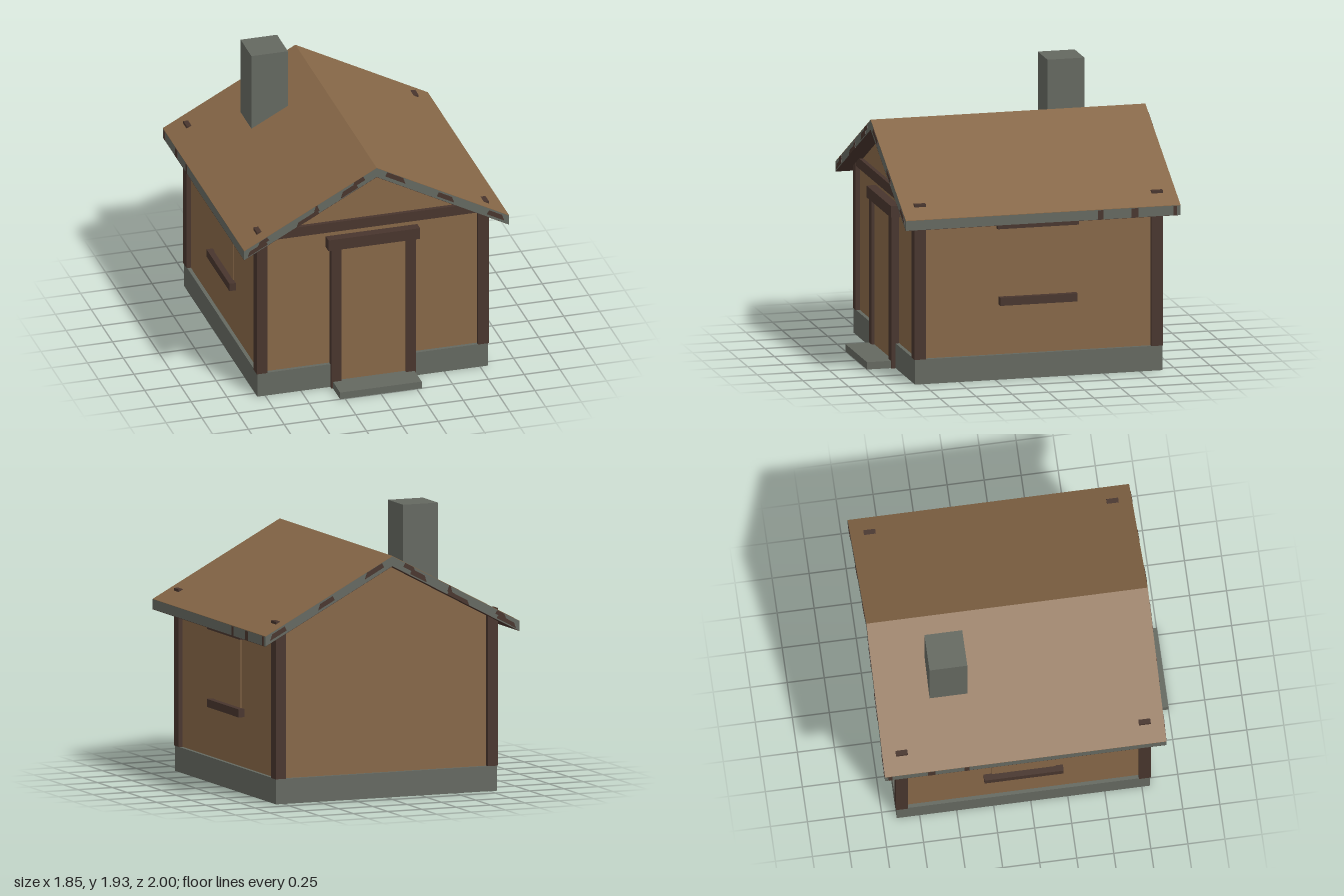
import * as THREE from 'three';

const mat = (name, color, side = THREE.FrontSide) => {
  const m = new THREE.MeshStandardMaterial({ color, side });
  m.name = name;
  return m;
};

export function createModel() {
  const house = new THREE.Group();
  house.name = 'cottage';
  const plaster = mat('tan plaster', 0x866747);
  const timber = mat('dark timber', 0x48352d);
  const stone = mat('grey stone', 0x646860, THREE.DoubleSide);

  const add = (name, geometry, material) => {
    const mesh = new THREE.Mesh(geometry, material);
    mesh.name = name;
    house.add(mesh);
    return mesh;
  };
  // Box given by its limits on each axis
  const boxGeo = (x0, x1, y0, y1, z0, z1) =>
    new THREE.BoxGeometry(x1 - x0, y1 - y0, z1 - z0)
      .translate((x0 + x1) / 2, (y0 + y1) / 2, (z0 + z1) / 2);
  const box = (name, material, ...b) => add(name, boxGeo(...b), material);
  // Box without its bottom face
  const openBox = (name, material, ...b) => {
    const g = boxGeo(...b);
    const index = Array.from(g.index.array);
    index.splice(18, 6);
    g.setIndex(index);
    g.clearGroups();
    return add(name, g, material);
  };
  // Outline in x, y extruded between two z positions
  const prism = (name, material, points, z0, z1) => {
    const shape = new THREE.Shape(points.map(p => new THREE.Vector2(...p)));
    const g = new THREE.ExtrudeGeometry(shape, { depth: z1 - z0, bevelEnabled: false });
    return add(name, g.translate(0, 0, z0), material);
  };

  // Foundation and doorstep, hollow underneath
  openBox('foundation', stone, -0.805, 0.805, 0, 0.17, -0.905, 0.805);
  openBox('doorstep', stone, -0.285, 0.285, 0, 0.05, 0.8, 1);

  // Walls with gables
  const slope = 0.53;
  const under = x => 1.575 - slope * Math.abs(x);
  const wx = 0.78;
  prism('walls', plaster,
    [[-wx, 0.17], [wx, 0.17], [wx, under(wx) + 0.01], [0, 1.585], [-wx, under(wx) + 0.01]],
    -0.88, 0.78);

  // Corner posts, their tips poking through the roof
  for (const s of [-1, 1])
    for (const [z0, z1] of [[0.73, 0.81], [-0.91, -0.83]])
      box('cornerPost', timber, ...(s > 0 ? [0.735, 0.81] : [-0.81, -0.735]), 0.17, 1.235, z0, z1);
  box('gableBeam', timber, -0.74, 0.74, 1.16, 1.23, 0.75, 0.808);

  // Door and frame
  box('door', plaster, -0.225, 0.225, 0.05, 1.035, 0.77, 0.815);
  for (const s of [-1, 1])
    box('doorPost', timber, s * 0.26 - 0.035, s * 0.26 + 0.035, 0, 1.04, 0.77, 0.835);
  box('doorLintel', timber, -0.32, 0.32, 1.04, 1.12, 0.77, 0.845);

  // Shuttered windows on both sides
  for (const s of [-1, 1]) {
    const out = (name, m, depth, y0, y1, z0, z1) =>
      box(name, m, ...(s > 0 ? [0.76, depth] : [-depth, -0.76]), y0, y1, z0, z1);
    out('windowPanel', plaster, 0.785, 0.565, 1.04, -0.26, 0.17);
    out('windowSill', timber, 0.825, 0.51, 0.565, -0.315, 0.22);
    out('windowLintel', timber, 0.818, 1.035, 1.095, -0.325, 0.235);
  }

  // Roof: stone-edged slab with tan covering and timber lining
  const half = 0.925;
  const chevron = (name, material, low, high) => prism(name, material,
    [[-half, under(half) + low], [0, 1.575 + low], [half, under(half) + low],
      [half, under(half) + high], [0, 1.575 + high], [-half, under(half) + high]],
    -1, 0.9);
  chevron('roofSlab', stone, 0.002, 0.068);
  chevron('roofCovering', plaster, 0.068, 0.071);
  chevron('roofLining', timber, 0, 0.002);

  // Dark patches on the gable edges: x start, x end, heights within the edge
  const patches = [
    [-0.9, -0.76, 0.01, 0.04], [-0.83, -0.75, 0.035, 0.065],
    [-0.56, -0.4, 0, 0.03], [-0.44, -0.4, 0.02, 0.068],
    [-0.25, -0.13, 0.01, 0.05], [-0.17, -0.08, 0.035, 0.068],
    [0.06, 0.2, 0.03, 0.066], [0.42, 0.54, 0.02, 0.055], [0.77, 0.89, 0.02, 0.055],
  ];
  for (const [x0, x1, v0, v1] of patches)
    for (const z of [-1.003, 0.899])
      prism('gablePatch', timber,
        [[x0, under(x0) + v0], [x1, under(x1) + v0], [x1 - 0.015, under(x1 - 0.015) + v1],
          [x0 + 0.015, under(x0 + 0.015) + v1]], z, z + 0.004);
  // Dark patches on the eaves
  for (const s of [-1, 1])
    for (const [z0, z1] of [[-0.465, -0.43], [-0.71, -0.66], [-0.975, -0.95]])
      box('eavePatch', timber, s * half - 0.002, s * half + 0.002, 1.087, 1.15, z0, z1);

  // Chimney
  box('chimney', stone, -0.49, -0.235, 1.35, 1.93, -0.64, -0.385);

  return house;
}
